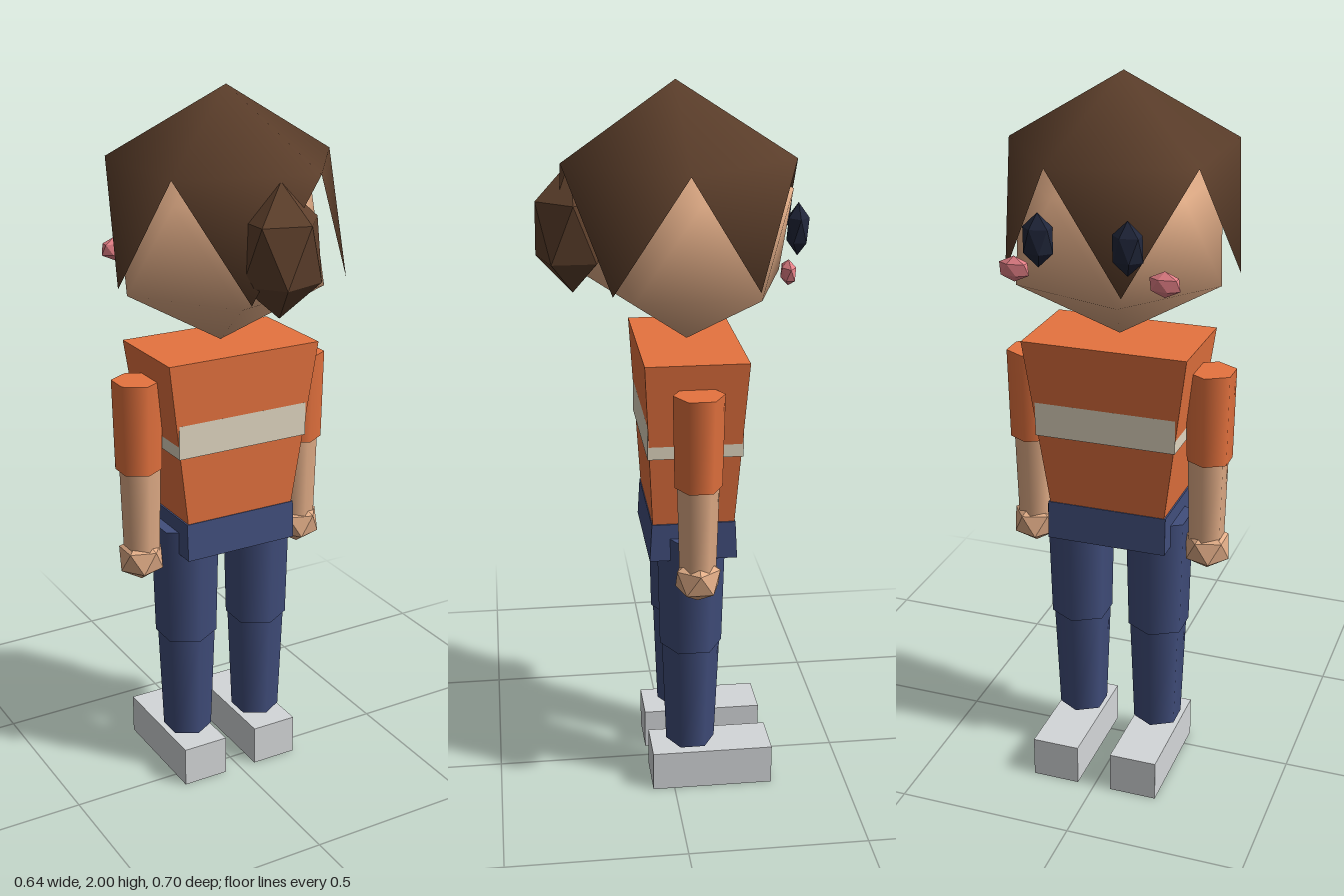
import * as THREE from 'three';

const material = (color, flatShading = false, side = THREE.FrontSide) =>
  new THREE.MeshStandardMaterial({ color, flatShading, side });

const ORANGE = 0xe6733f, SKIN = 0xe3ae88, HAIR = 0x5e402c, DENIM = 0x414e7c;
const CREAM = 0xe0d6c0, NAVY = 0x20263a, PINK = 0xe37f86, SHOE = 0xd4d7d9;
const BODY_Z = -0.053;

// Twenty-sided ball standing on a point; capOnly keeps the crown and its downward spikes.
function ball(rx, ry, rz, capOnly = false) {
  const h = 1 / Math.sqrt(5), r = 2 * h;
  const points = [0, 1, 0];
  for (const lower of [0, 1]) {
    for (let i = 0; i < 5; i++) {
      const a = (i + lower / 2) * Math.PI * 2 / 5;
      points.push(r * Math.cos(a), lower ? -h : h, r * Math.sin(a));
    }
  }
  points.push(0, -1, 0);
  const index = [];
  for (let i = 0; i < 5; i++) {
    const n = (i + 1) % 5;
    const u = 1 + i, un = 1 + n, l = 6 + i, ln = 6 + n;
    index.push(0, un, u, u, un, l);
    if (!capOnly) index.push(un, ln, l, 11, l, ln);
  }
  const g = new THREE.BufferGeometry();
  g.setAttribute('position', new THREE.Float32BufferAttribute(points, 3));
  g.setAttribute('normal', new THREE.Float32BufferAttribute(points, 3));
  g.setIndex(index);
  return g.scale(rx, ry, rz);
}

// Box whose bottom is narrower or wider than its top.
function taperedBox(topX, topZ, bottomX, bottomZ, height) {
  const g = new THREE.BoxGeometry(1, height, 1);
  const p = g.attributes.position;
  for (let i = 0; i < p.count; i++) {
    const top = p.getY(i) > 0;
    p.setX(i, p.getX(i) * (top ? topX : bottomX));
    p.setZ(i, p.getZ(i) * (top ? topZ : bottomZ));
  }
  g.computeVertexNormals();
  return g;
}

export function createModel() {
  const model = new THREE.Group();
  model.name = 'figure';

  const add = (parent, name, geometry, mat, x, y, z) => {
    const mesh = new THREE.Mesh(geometry, mat);
    mesh.name = name;
    mesh.position.set(x, y, z);
    parent.add(mesh);
    return mesh;
  };

  // Six-sided limb section between two heights
  const limb = (parent, name, color, x, y0, y1, rBottom, rTop) =>
    add(parent, name, new THREE.CylinderGeometry(rTop, rBottom, y1 - y0, 6),
      material(color), x, (y0 + y1) / 2, BODY_Z);

  // Head, hair and bun
  const head = new THREE.Group();
  head.name = 'head';
  model.add(head);
  add(head, 'face', ball(0.313, 0.29, 0.313), material(SKIN), 0, 1.6, BODY_Z);
  add(head, 'hair', ball(0.358, 0.345, 0.358, true),
    material(HAIR, false, THREE.DoubleSide), 0, 1.655, -0.021);
  add(head, 'hairBun', ball(0.122, 0.175, 0.112), material(HAIR, true), 0, 1.622, 0.253);

  // Torso, stripe and hips
  add(model, 'shirt', taperedBox(0.46, 0.277, 0.33, 0.225, 0.475),
    material(ORANGE), 0, 1.0675, BODY_Z);
  add(model, 'shirtStripe', new THREE.BoxGeometry(0.396, 0.095, 0.258),
    material(CREAM), 0, 1.083, BODY_Z);
  add(model, 'hips', taperedBox(0.34, 0.23, 0.34, 0.242, 0.108),
    material(DENIM), 0, 0.779, BODY_Z);

  for (const [label, s] of [['left', 1], ['right', -1]]) {
    // Eye and cheek
    add(head, label + 'Eye', ball(0.045, 0.07, 0.032), material(NAVY, true),
      s * 0.117, 1.63, -0.327);
    add(head, label + 'Cheek', ball(0.045, 0.034, 0.021), material(PINK, true),
      s * 0.2, 1.537, -0.288);

    // Arm
    const arm = new THREE.Group();
    arm.name = label + 'Arm';
    model.add(arm);
    limb(arm, 'sleeve', ORANGE, s * 0.258, 0.978, 1.235, 0.064, 0.069);
    limb(arm, 'forearm', SKIN, s * 0.254, 0.72, 0.985, 0.05, 0.057);
    add(arm, 'hand', ball(0.069, 0.067, 0.069), material(SKIN, true), s * 0.257, 0.711, BODY_Z);

    // Leg and shoe
    const leg = new THREE.Group();
    leg.name = label + 'Leg';
    model.add(leg);
    limb(leg, 'thigh', DENIM, s * 0.117, 0.445, 0.79, 0.088, 0.096);
    limb(leg, 'shin', DENIM, s * 0.116, 0.13, 0.46, 0.07, 0.083);
    add(leg, 'shoe', new THREE.BoxGeometry(0.135, 0.117, 0.346), material(SHOE),
      s * 0.117, 0.0585, -0.111);
  }
  return model;
}
